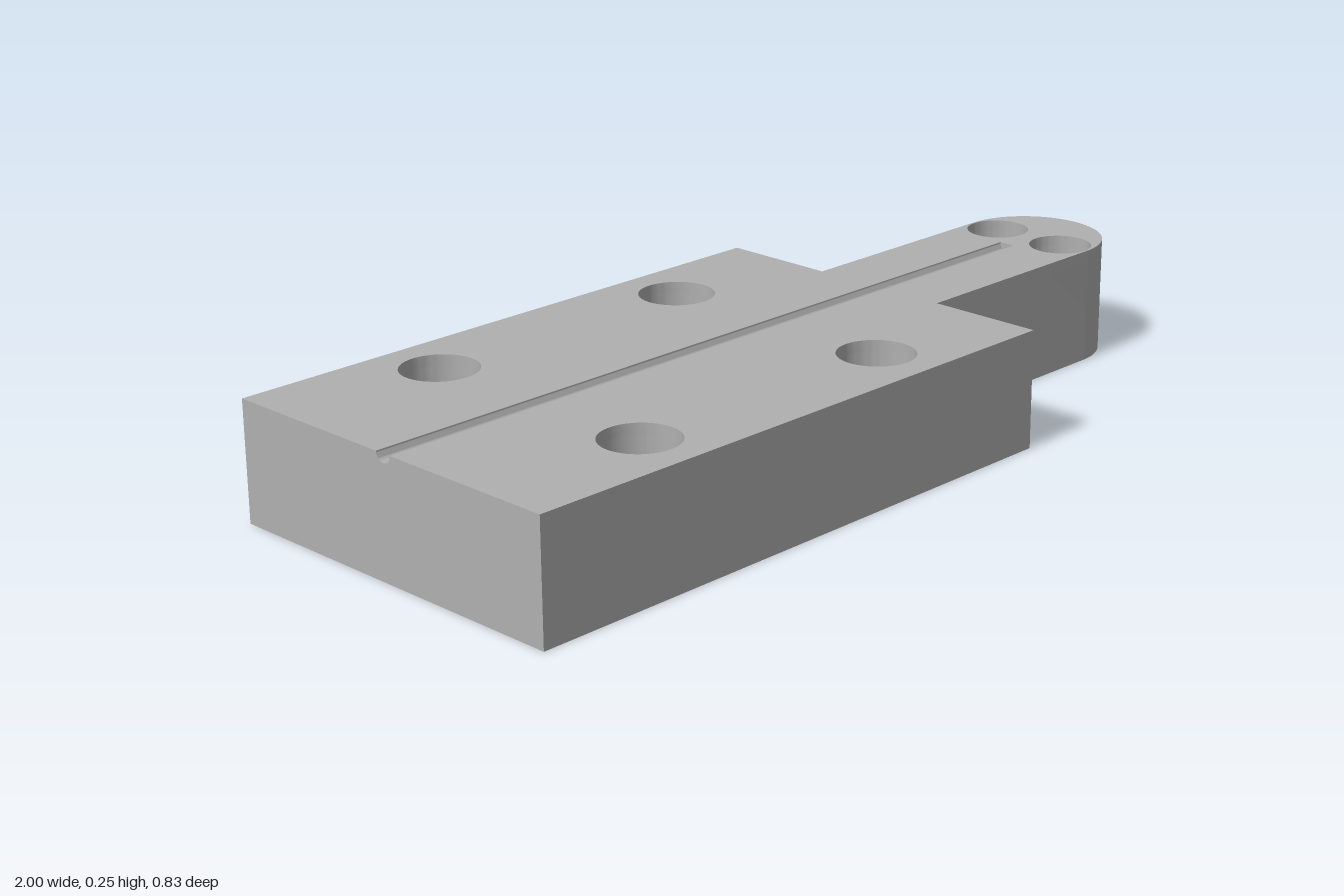
import * as THREE from 'three';
import { toCreasedNormals } from 'three/addons/utils/BufferGeometryUtils.js';

const HEIGHT = 0.253, HALF_W = 0.413, NECK = 0.16, SHOULDER = 0.33;
const GROOVE_R = 0.019, GROOVE_END = 0.76, LAYER = 0.23;

// Plan outline of the plate with its six through holes; optionally slotted for the groove
function plateShape(slotted) {
  const s = new THREE.Shape();
  s.moveTo(-1, -HALF_W);
  s.lineTo(SHOULDER, -HALF_W);
  s.lineTo(SHOULDER, -NECK);
  s.lineTo(1 - NECK, -NECK);
  s.absarc(1 - NECK, 0, NECK, -Math.PI / 2, Math.PI / 2, false);
  s.lineTo(SHOULDER, NECK);
  s.lineTo(SHOULDER, HALF_W);
  s.lineTo(-1, HALF_W);
  if (slotted) {
    s.lineTo(-1, GROOVE_R);
    s.lineTo(GROOVE_END, GROOVE_R);
    s.lineTo(GROOVE_END, -GROOVE_R);
    s.lineTo(-1, -GROOVE_R);
  }
  s.closePath();
  for (const side of [-1, 1]) {
    for (const [x, z, r] of [[-0.635, 0.277, 0.08], [0.008, 0.277, 0.08], [0.836, 0.088, 0.068]]) {
      const hole = new THREE.Path();
      hole.absarc(x, side * z, r, 0, Math.PI * 2, true);
      s.holes.push(hole);
    }
  }
  return s;
}

function extrude(shape, depth) {
  return new THREE.ExtrudeGeometry(shape, { depth, bevelEnabled: false, curveSegments: 32 });
}

export function createModel() {
  const group = new THREE.Group();
  group.name = 'mountingPlate';
  const metal = new THREE.MeshStandardMaterial({ color: 0xb0b0b0 });
  metal.name = 'grey metal';

  const add = (name, geometry) => {
    const mesh = new THREE.Mesh(toCreasedNormals(geometry, 0.6), metal);
    mesh.name = name;
    group.add(mesh);
  };

  // Solid lower layer and slotted upper layer
  add('plateBody', extrude(plateShape(false), LAYER).rotateX(-Math.PI / 2));
  add('plateTop', extrude(plateShape(true), HEIGHT - LAYER).rotateX(-Math.PI / 2).translate(0, LAYER, 0));

  // Round-bottomed groove bed running along the slot
  const bed = new THREE.Shape();
  bed.moveTo(-GROOVE_R, LAYER - HEIGHT);
  bed.lineTo(GROOVE_R, LAYER - HEIGHT);
  bed.lineTo(GROOVE_R, 0);
  bed.absarc(0, 0, GROOVE_R, 0, -Math.PI, true);
  bed.closePath();
  add('grooveBed', extrude(bed, GROOVE_END + 1).rotateY(Math.PI / 2).translate(-1, HEIGHT, 0));

  return group;
}
